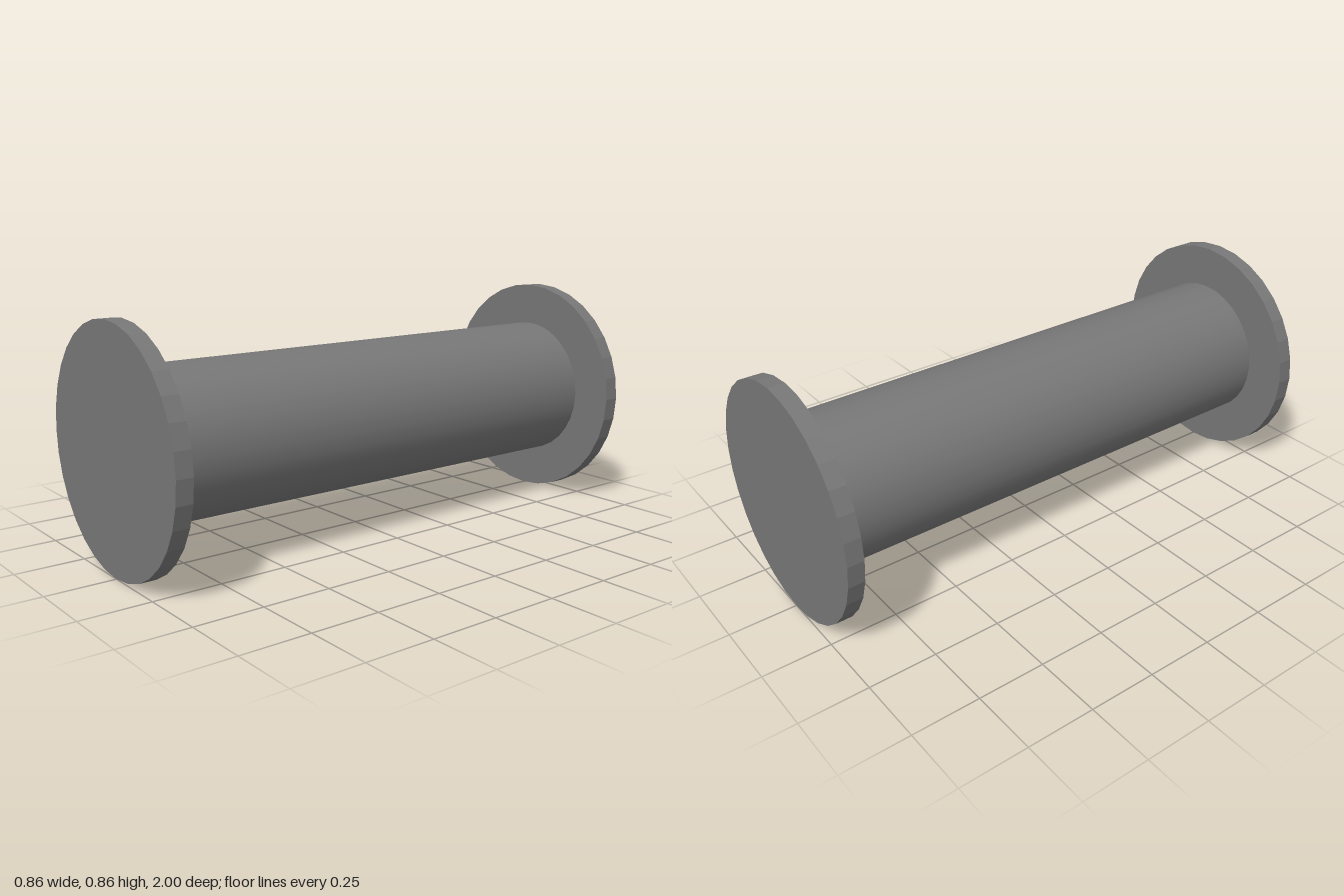
import * as THREE from 'three';

const SEGMENTS = 32;
const FLANGE_RADIUS = 0.43;
const FLANGE_DEPTH = 0.06;
const CORE_RADIUS = 0.27;
const LENGTH = 2;

// Cylinder lying along the z axis
function drum(radius, depth, openEnded) {
  return new THREE.CylinderGeometry(radius, radius, depth, SEGMENTS, 1, openEnded).rotateX(Math.PI / 2);
}

export function createModel() {
  const spool = new THREE.Group();
  spool.name = 'spool';

  const grey = new THREE.MeshStandardMaterial({ color: 0x777777 });
  grey.name = 'dark grey';

  // Smooth core between the flanges
  const core = new THREE.Mesh(drum(CORE_RADIUS, LENGTH - 2 * FLANGE_DEPTH, true), grey);
  core.name = 'core';
  core.position.y = FLANGE_RADIUS;
  spool.add(core);

  // Faceted flange discs at both ends
  const flangeGeometry = drum(FLANGE_RADIUS, FLANGE_DEPTH, false).toNonIndexed();
  flangeGeometry.computeVertexNormals();
  for (const [name, side] of [['frontFlange', 1], ['backFlange', -1]]) {
    const flange = new THREE.Mesh(flangeGeometry, grey);
    flange.name = name;
    flange.position.set(0, FLANGE_RADIUS, side * (LENGTH - FLANGE_DEPTH) / 2);
    spool.add(flange);
  }

  return spool;
}
